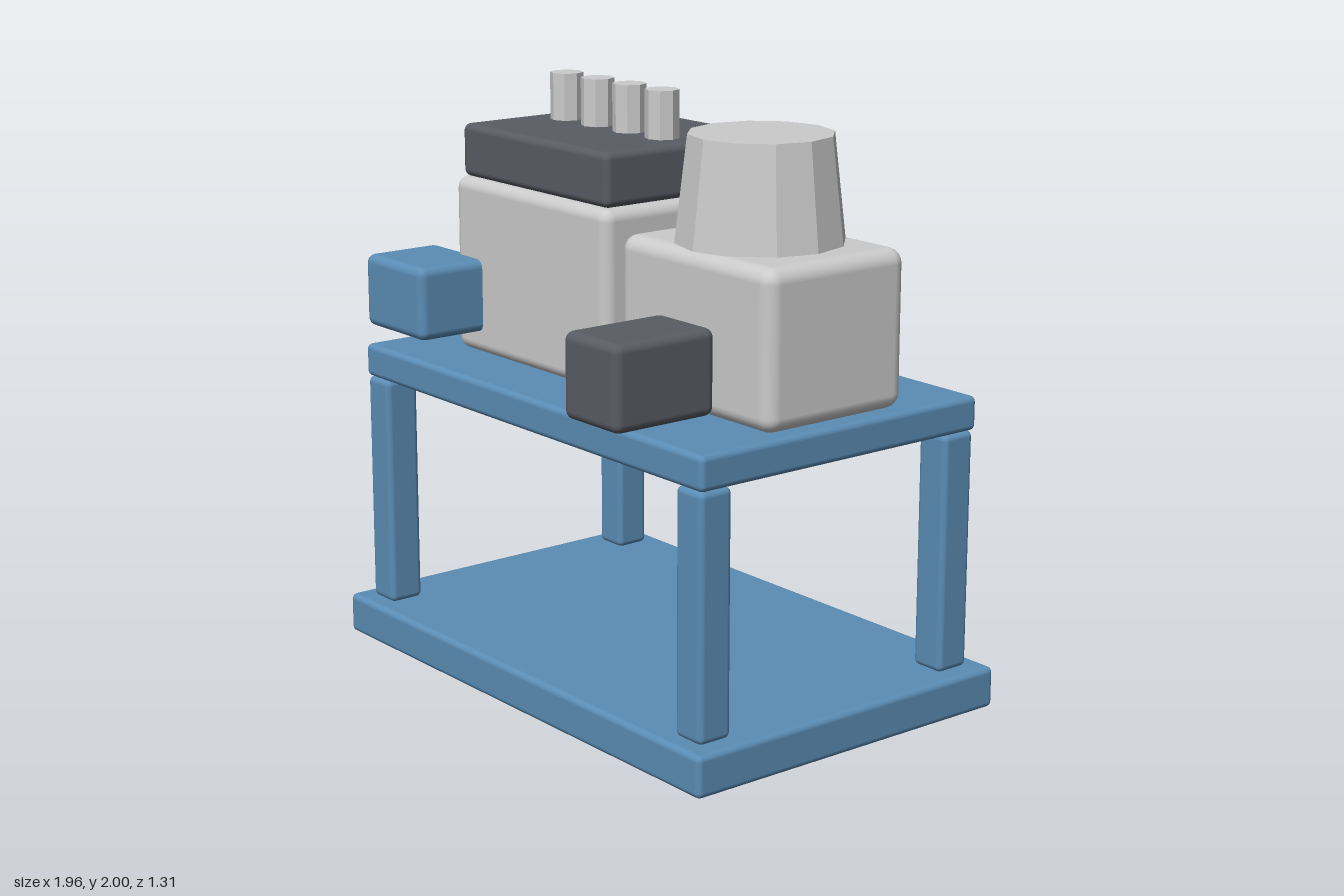
import * as THREE from 'three';
import { RoundedBoxGeometry } from 'three/addons/geometries/RoundedBoxGeometry.js';

const blue = new THREE.MeshStandardMaterial({ color: 0x5b8db5 });
const dark = new THREE.MeshStandardMaterial({ color: 0x5a5c64 });
const grey = new THREE.MeshStandardMaterial({ color: 0xcccccc });
const facetedGrey = new THREE.MeshStandardMaterial({ color: 0xcccccc, flatShading: true });

export function createModel() {
  const model = new THREE.Group();
  model.name = 'machineOnTable';

  const add = (name, geometry, material, x, y, z) => {
    const mesh = new THREE.Mesh(geometry, material);
    mesh.name = name;
    mesh.position.set(x, y, z);
    model.add(mesh);
  };

  // Softly rounded block given by its extents along each axis
  const block = (name, material, [x0, x1], [y0, y1], [z0, z1], radius) =>
    add(name, new RoundedBoxGeometry(x1 - x0, y1 - y0, z1 - z0, 3, radius), material,
      (x0 + x1) / 2, (y0 + y1) / 2, (z0 + z1) / 2);

  // Faceted round part standing on height y0
  const round = (name, topRadius, bottomRadius, y0, y1, sides, x, z) =>
    add(name, new THREE.CylinderGeometry(topRadius, bottomRadius, y1 - y0, sides),
      facetedGrey, x, (y0 + y1) / 2, z);

  // Table: base plate, four legs, top plate
  block('basePlate', blue, [-0.98, 0.975], [0, 0.14], [-0.655, 0.605], 0.02);
  block('tableTop', blue, [-0.92, 0.915], [0.945, 1.06], [-0.6, 0.55], 0.02);
  for (const [side, x] of [['right', -0.915], ['left', 0.787]]) {
    for (const [end, z] of [['Front', 0.423], ['Back', -0.59]]) {
      block(`${side}${end}Leg`, blue, [x, x + 0.125], [0.14, 0.945], [z, z + 0.125], 0.02);
    }
  }

  // Main housing with lid and a row of pins
  block('mainHousing', grey, [-0.68, 0.167], [1.06, 1.66], [-0.38, 0.33], 0.04);
  block('housingLid', dark, [-0.657, 0.145], [1.66, 1.84], [-0.355, 0.31], 0.025);
  for (let i = 0; i < 4; i++) {
    round(`pin${i + 1}`, 0.057, 0.057, 1.83, 2, 8, -0.51 + i * 0.173, -0.025);
  }

  // Side housing with tapered drum
  block('sideHousing', grey, [0.14, 0.88], [1.06, 1.577], [-0.31, 0.26], 0.05);
  round('taperedDrum', 0.235, 0.275, 1.575, 1.92, 12, 0.505, -0.025);

  // Small boxes at the front
  block('controlBox', blue, [-0.865, -0.52], [1.14, 1.39], [0.285, 0.58], 0.03);
  block('frontBox', dark, [0.367, 0.64], [1.08, 1.36], [0.265, 0.655], 0.03);

  return model;
}
